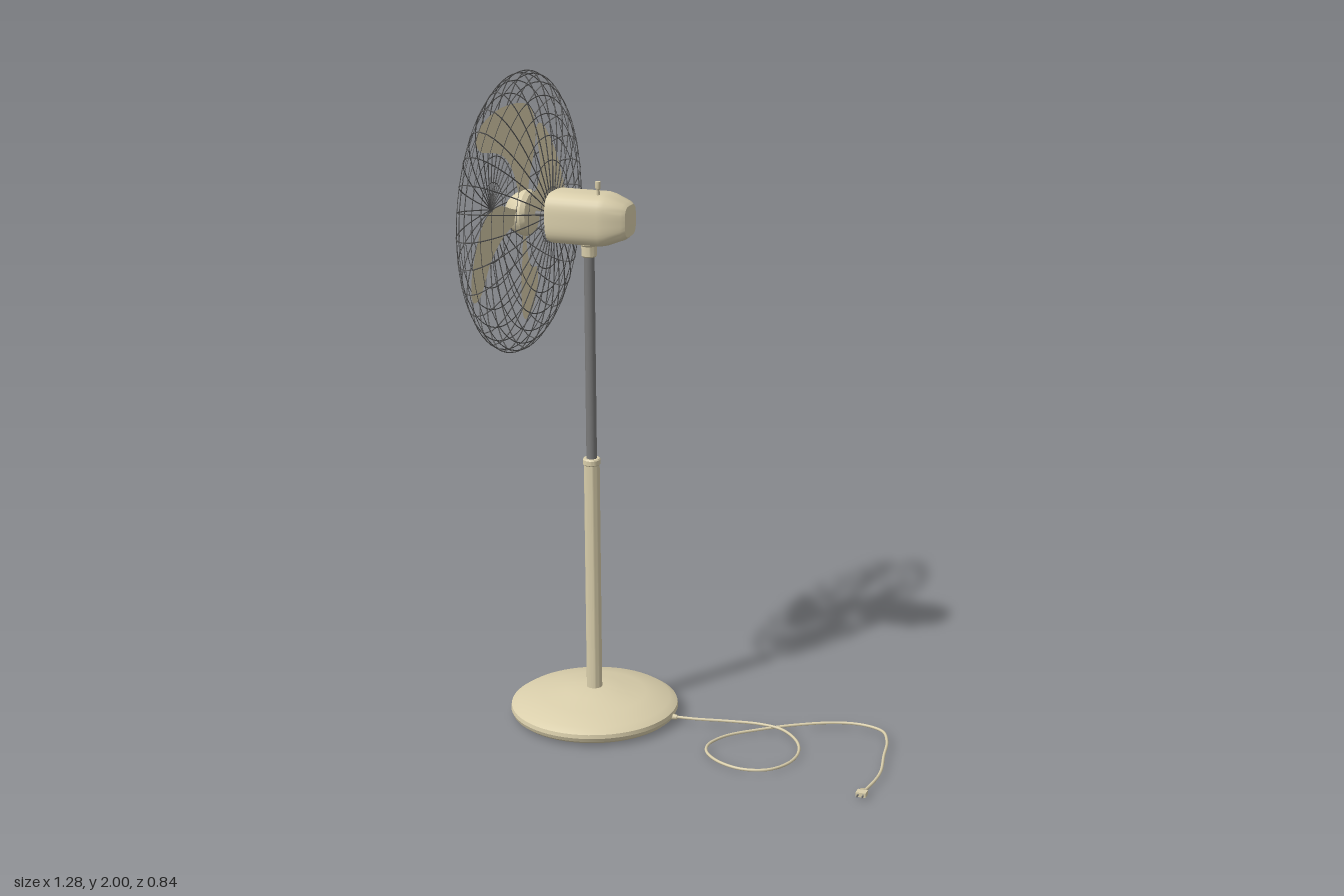
import * as THREE from 'three';
import { toCreasedNormals } from 'three/addons/utils/BufferGeometryUtils.js';

const BEIGE = 0xd9ceab, STEEL = 0x7a7a7a, WIRE = 0x555555;
const POLE_X = -0.328, FAN_X = -0.542, AXIS_Y = 1.58;

function material(color, thin = false) {
  const m = new THREE.MeshStandardMaterial({ color });
  if (thin) m.side = THREE.DoubleSide;
  return m;
}

function add(parent, name, geometry, color, x = 0, y = 0, z = 0, thin = false) {
  const mesh = new THREE.Mesh(geometry, material(color, thin));
  mesh.name = name;
  mesh.position.set(x, y, z);
  parent.add(mesh);
  return mesh;
}

// Turned profile of [radius, height] pairs, with crisp edges
function turned(profile, segments = 48) {
  const pts = profile.map(([r, h]) => new THREE.Vector2(r, h));
  return toCreasedNormals(new THREE.LatheGeometry(pts, segments), 0.5);
}

// Motor housing: a turned profile squared off into a rounded box section, lying along x
function motorHousing() {
  const pts = [[0, -0.443], [0.064, -0.443], [0.073, -0.438], [0.077, -0.425], [0.077, -0.275],
    [0.073, -0.256], [0.055, -0.208], [0.046, -0.197], [0, -0.195]].map(([r, h]) => new THREE.Vector2(r, h));
  const geo = new THREE.LatheGeometry(pts, 48);
  const p = geo.attributes.position;
  for (let i = 0; i < p.count; i++) {
    const a = Math.atan2(p.getZ(i), p.getX(i));
    const k = Math.pow(Math.abs(Math.cos(a)) ** 3.5 + Math.abs(Math.sin(a)) ** 3.5, -1 / 3.5);
    p.setX(i, p.getX(i) * k);
    p.setZ(i, p.getZ(i) * k);
  }
  geo.rotateZ(-Math.PI / 2);
  return toCreasedNormals(geo, 0.5);
}

// Swept blade, drawn flat then pitched
function bladeGeometry() {
  const s = new THREE.Shape();
  s.moveTo(0.02, 0.04);
  s.bezierCurveTo(0.03, 0.13, 0.065, 0.17, 0.065, 0.23);
  s.bezierCurveTo(0.065, 0.3, 0.04, 0.325, -0.02, 0.33);
  s.bezierCurveTo(-0.09, 0.335, -0.14, 0.325, -0.19, 0.295);
  s.bezierCurveTo(-0.23, 0.27, -0.23, 0.225, -0.19, 0.212);
  s.bezierCurveTo(-0.12, 0.2, -0.05, 0.2, -0.02, 0.04);
  const geo = new THREE.ShapeGeometry(s, 16);
  const p = geo.attributes.position;
  for (let i = 0; i < p.count; i++) p.setZ(i, 0.23 * p.getX(i) + 0.008);
  geo.rotateY(Math.PI / 2);
  geo.computeVertexNormals();
  return geo;
}

// Guard: squashed globe of meridian wires and rings
function guard() {
  const g = new THREE.Group();
  g.name = 'guard';
  const R = 0.418, D = 0.097, steps = 16;
  for (let i = 0; i < steps; i++) {
    const a = (i / steps) * Math.PI;
    const pts = [];
    for (let j = 0; j < 48; j++) {
      const t = (j / 48) * Math.PI * 2;
      const r = R * Math.sin(t);
      pts.push(new THREE.Vector3(-D * Math.cos(t), r * Math.cos(a), r * Math.sin(a)));
    }
    const path = new THREE.CatmullRomCurve3(pts, true);
    add(g, 'guardSpoke', new THREE.TubeGeometry(path, 72, 0.0018, 5, true), WIRE);
  }
  for (let k = 1; k < steps; k++) {
    const t = (k / steps) * Math.PI;
    const ring = new THREE.TorusGeometry(R * Math.sin(t), 0.0018, 5, 72);
    ring.scale(1, 1, 0.3);
    ring.rotateY(Math.PI / 2);
    add(g, 'guardRing', ring, WIRE, -D * Math.cos(t));
  }
  g.position.set(FAN_X, AXIS_Y, 0);
  return g;
}

// Power cord lying on the floor, ending in a two-pin plug
function powerCord() {
  const g = new THREE.Group();
  g.name = 'powerCord';
  const route = [[-0.08, 0.022, 0], [0, 0.021, -0.008], [0.1, 0.019, -0.03], [0.2, 0.017, -0.045],
    [0.272, 0.014, -0.035], [0.338, 0.01, 0.025], [0.365, 0.008, 0.1], [0.356, 0.008, 0.18],
    [0.312, 0.008, 0.24], [0.24, 0.008, 0.26], [0.16, 0.008, 0.235], [0.102, 0.008, 0.18],
    [0.09, 0.008, 0.125], [0.122, 0.008, 0.05], [0.2, 0.009, -0.02], [0.3, 0.014, -0.08],
    [0.42, 0.018, -0.13], [0.502, 0.018, -0.14], [0.568, 0.018, -0.115], [0.6, 0.017, -0.05],
    [0.617, 0.015, 0.05], [0.635, 0.013, 0.15], [0.634, 0.012, 0.22], [0.623, 0.012, 0.295]];
  const path = new THREE.CatmullRomCurve3(route.map((p) => new THREE.Vector3(...p)));
  add(g, 'cord', new THREE.TubeGeometry(path, 180, 0.0045, 8), BEIGE);
  const grommet = new THREE.CylinderGeometry(0.007, 0.01, 0.02, 16);
  grommet.rotateZ(-Math.PI / 2);
  add(g, 'cordGrommet', grommet, BEIGE, -0.065, 0.022, 0);
  const neck = new THREE.CylinderGeometry(0.013, 0.007, 0.012, 12);
  neck.rotateX(Math.PI / 2);
  add(g, 'plugNeck', neck, BEIGE, 0.622, 0.012, 0.293);
  add(g, 'plugBody', new THREE.BoxGeometry(0.03, 0.014, 0.025), BEIGE, 0.621, 0.012, 0.31);
  for (const s of [-1, 1])
    add(g, 'plugPin', new THREE.BoxGeometry(0.003, 0.006, 0.016), STEEL, 0.621 + s * 0.008, 0.012, 0.328);
  return g;
}

export function createModel() {
  const model = new THREE.Group();
  model.name = 'pedestalFan';

  // Base and telescopic stand
  add(model, 'base', turned([[0, 0.006], [0.245, 0.006], [0.255, 0.014], [0.26, 0.026], [0.258, 0.038],
    [0.235, 0.053], [0.16, 0.069], [0.09, 0.083], [0.045, 0.09], [0, 0.09]], 64), BEIGE, POLE_X);
  add(model, 'lowerPole', turned([[0, 0.085], [0.024, 0.085], [0.024, 0.815], [0.027, 0.818],
    [0.027, 0.832], [0.024, 0.836], [0, 0.836]], 32), BEIGE, POLE_X);
  add(model, 'upperPole', new THREE.CylinderGeometry(0.016, 0.016, 0.65, 32), STEEL, POLE_X, 1.145);
  add(model, 'neck', turned([[0, 1.462], [0.02, 1.462], [0.023, 1.466], [0.023, 1.495], [0.028, 1.5],
    [0.028, 1.515], [0, 1.515]], 32), BEIGE, POLE_X);

  // Motor with oscillation knob and drive shaft
  add(model, 'motorHousing', motorHousing(), BEIGE, 0, AXIS_Y);
  add(model, 'oscillationKnob', turned([[0, 1.64], [0.005, 1.64], [0.005, 1.67], [0.008, 1.676],
    [0.008, 1.696], [0, 1.696]], 16), BEIGE, -0.287, 0, 0.027);
  const shaft = new THREE.CylinderGeometry(0.008, 0.008, 0.1, 16);
  shaft.rotateZ(Math.PI / 2);
  add(model, 'driveShaft', shaft, STEEL, -0.48, AXIS_Y);

  // Rotor: domed hub and four blades
  const rotor = new THREE.Group();
  rotor.name = 'rotor';
  const hub = turned([[0, -0.05], [0.018, -0.047], [0.04, -0.035], [0.057, -0.016], [0.067, 0.005],
    [0.07, 0.022], [0.062, 0.035], [0.035, 0.045], [0, 0.048]], 40);
  hub.rotateZ(-Math.PI / 2);
  add(rotor, 'hub', hub, BEIGE);
  const blade = bladeGeometry();
  for (let i = 0; i < 4; i++)
    add(rotor, 'blade', blade, BEIGE, 0, 0, 0, true).rotation.x = (i * Math.PI) / 2;
  rotor.position.set(FAN_X, AXIS_Y, 0);
  model.add(rotor);

  model.add(guard(), powerCord());
  return model;
}
